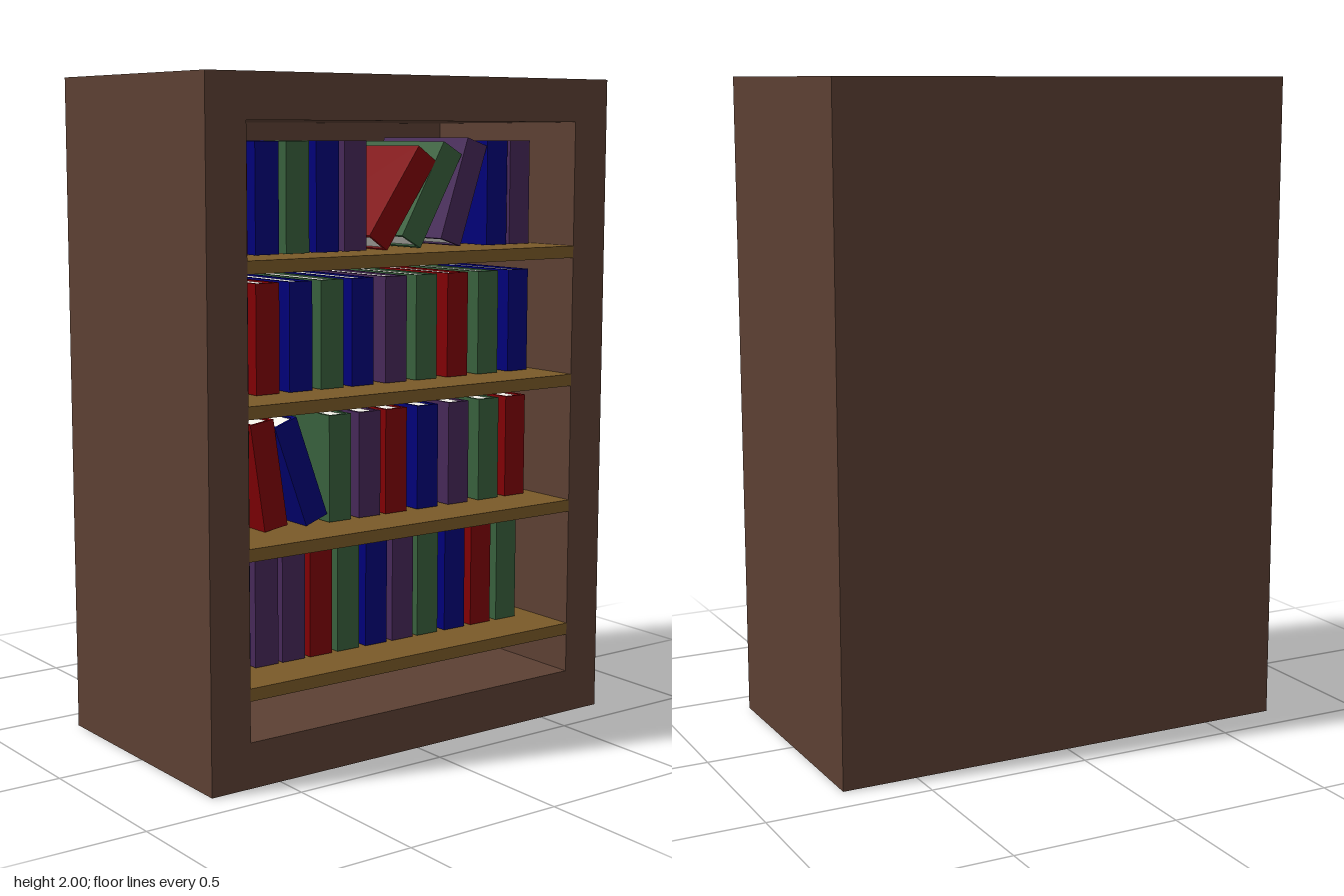
import * as THREE from 'three';

const W = 1.46, H = 2, D = 0.79;            // cabinet size
const IN_W = 1.2, IN_Y0 = 0.135, IN_Y1 = 1.87; // opening
const BACK = 0.13;                          // back panel thickness
const BOOK_W = 0.08, BOOK_H = 0.32, BOOK_D = 0.42, BOOK_FRONT = 0.237;

const mat = (color) => new THREE.MeshStandardMaterial({ color, flatShading: true });

function box(name, material, w, h, d, x, y, z) {
  const m = new THREE.Mesh(new THREE.BoxGeometry(w, h, d), material);
  m.name = name;
  m.position.set(x, y, z);
  return m;
}

function rect(target, x0, y0, x1, y1) {
  target.moveTo(x0, y0);
  target.lineTo(x1, y0);
  target.lineTo(x1, y1);
  target.lineTo(x0, y1);
  target.closePath();
  return target;
}

export function createModel() {
  const group = new THREE.Group();
  group.name = 'bookcase';
  const wood = mat(0x5c4033), shelfWood = mat(0x7a5a28), paper = mat(0xf2f0e8);
  const covers = { R: mat(0x800004), B: mat(0x000078), G: mat(0x38603c), P: mat(0x462858) };

  // Surrounding frame with the opening cut through, closed by a back panel
  const outline = rect(new THREE.Shape(), -W / 2, 0, W / 2, H);
  outline.holes.push(rect(new THREE.Path(), -IN_W / 2, IN_Y0, IN_W / 2, IN_Y1));
  const frame = new THREE.Mesh(
    new THREE.ExtrudeGeometry(outline, { depth: D - BACK, bevelEnabled: false }), wood);
  frame.name = 'cabinetFrame';
  frame.position.z = -D / 2 + BACK;
  group.add(frame);
  group.add(box('backPanel', wood, W, H, BACK, 0, H / 2, -D / 2 + BACK / 2));

  // A book: spine in front, two covers, and a slightly inset page block
  function book(color, x, y, lean) {
    const b = new THREE.Group(), c = covers[color], t = 0.01;
    b.name = 'book';
    b.add(box('spine', c, BOOK_W, BOOK_H, t, 0, 0, BOOK_D / 2 - t / 2));
    for (const s of [-1, 1]) {
      b.add(box('cover', c, t, BOOK_H, BOOK_D - t, s * (BOOK_W - t) / 2, 0, -t / 2));
    }
    b.add(box('pages', paper, BOOK_W - 2 * t, BOOK_H - 0.01, BOOK_D - 2 * t, 0, 0, 0));
    b.position.set(x, y, BOOK_FRONT - BOOK_D / 2);
    b.rotation.z = -THREE.MathUtils.degToRad(lean);
    return b;
  }

  // Rows from top to bottom: shelf top, book colours, centre x of each book,
  // and leaning books as index: [degrees to the right, centre y]
  const rows = [
    { top: 1.492, colors: 'RBGBPRGPBP',
      xs: [-0.537, -0.43, -0.325, -0.22, -0.12, 0.056, 0.167, 0.291, 0.423, 0.515],
      lean: { 5: [35, 1.645], 6: [29.5, 1.653], 7: [18.7, 1.659] } },
    { top: 1.092, colors: 'PRBGBPGRGB',
      xs: [-0.537, -0.43, -0.315, -0.204, -0.093, 0.032, 0.148, 0.27, 0.392, 0.515], lean: {} },
    { top: 0.692, colors: 'GRBGPRBPGR',
      xs: [-0.537, -0.428, -0.315, -0.175, -0.066, 0.034, 0.156, 0.278, 0.4, 0.51],
      lean: { 1: [-8.6, 0.857], 2: [-20, 0.857] } },
    { top: 0.292, colors: 'BPPRGBPGBRG',
      xs: [-0.537, -0.439, -0.344, -0.246, -0.145, -0.04, 0.061, 0.159, 0.267, 0.373, 0.479], lean: {} },
  ];
  const thick = 0.037, shelfD = D - BACK;
  for (const { top, colors, xs, lean } of rows) {
    group.add(box('shelf', shelfWood, IN_W, thick, shelfD, 0, top - thick / 2, BACK / 2));
    xs.forEach((x, i) => {
      const [angle, y] = lean[i] ?? [0, top + BOOK_H / 2 + 0.002];
      group.add(book(colors[i], x, y, angle));
    });
  }
  return group;
}
